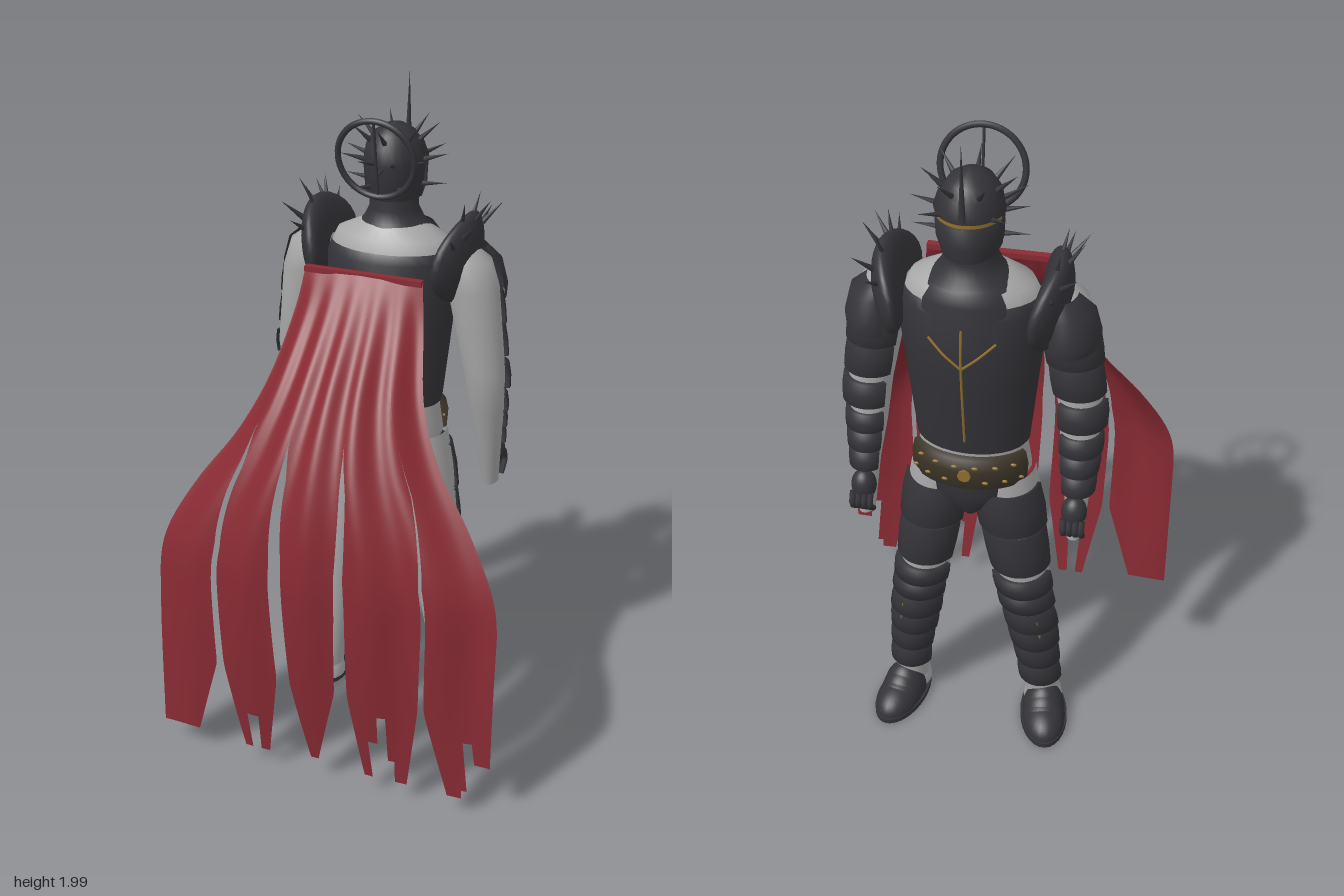
import * as THREE from 'three';
import { mergeGeometries } from 'three/addons/utils/BufferGeometryUtils.js';

const mat = (name, color, side = THREE.FrontSide) => {
  const m = new THREE.MeshStandardMaterial({ color, side });
  m.name = name;
  return m;
};
const V = (x, y, z) => new THREE.Vector3(x, y, z);

// Linear interpolation in rows sorted by falling y; column k holds y
function at(rows, y, k = 0) {
  if (y >= rows[0][k]) return rows[0];
  for (let i = 1; i < rows.length; i++) {
    if (y >= rows[i][k]) {
      const a = rows[i - 1], b = rows[i], t = (y - a[k]) / (b[k] - a[k]);
      return a.map((v, j) => v + (b[j] - v) * t);
    }
  }
  return rows[rows.length - 1];
}

function grid(cols, rows, point, closed = false) {
  const pos = [], idx = [], w = closed ? cols : cols + 1;
  for (let r = 0; r <= rows; r++) for (let c = 0; c < w; c++) pos.push(...point(c / cols, r));
  for (let r = 0; r < rows; r++) for (let c = 0; c < cols; c++) {
    const a = r * w + c, b = r * w + (c + 1) % w;
    idx.push(a, b, a + w, b, b + w, a + w);
  }
  const g = new THREE.BufferGeometry();
  g.setAttribute('position', new THREE.Float32BufferAttribute(pos, 3));
  g.setIndex(idx);
  g.computeVertexNormals();
  return g;
}

// Skin of elliptic sections [x, y, z, rx, rz], top to bottom; angle 0 faces -z, positive turns to +x
function loft(secs, a0 = 0, a1 = Math.PI * 2) {
  return grid(28, secs.length - 1, (u, r) => {
    const [x, y, z, rx, rz] = secs[r], a = a0 + (a1 - a0) * u;
    return [x + rx * Math.sin(a), y, z - rz * Math.cos(a)];
  }, a1 - a0 > 6.28);
}

// Sections on the middle line from rows of [y, rx, rz]
const stack = (z, rows) => rows.map(([y, rx, rz]) => [0, y, z, rx, rz]);

// Curved plates following a limb, with narrow gaps between them
function plates(secs, top, bottom, n, a0, a1, grow) {
  const h = (top - bottom) / n, out = [];
  const ring = (y, s) => { const [x, , z, rx, rz] = at(secs, y, 1); return [x, y, z, rx + s, rz + s]; };
  for (let i = 0; i < n; i++) {
    const y = top - i * h, end = y - h * 0.92;
    out.push(loft([ring(y, 0), ring(y, grow), ring((y + end) / 2, grow + 0.004), ring(end, grow + 0.004), ring(end - 0.002, 0)], a0, a1));
  }
  return mergeGeometries(out);
}

function spike(p, d, len, r) {
  const g = new THREE.ConeGeometry(r, len, 7).translate(0, len / 2, 0);
  g.applyQuaternion(new THREE.Quaternion().setFromUnitVectors(V(0, 1, 0), d.clone().normalize()));
  return g.translate(p.x, p.y, p.z);
}
const ball = (x, y, z, rx, ry, rz, half = false) =>
  new THREE.SphereGeometry(1, 24, 14, 0, Math.PI * 2, 0, half ? Math.PI / 2 : Math.PI).scale(rx, ry, rz).translate(x, y, z);
const rod = (pts, r) => new THREE.TubeGeometry(new THREE.CatmullRomCurve3(pts), 20, r, 6);

function mirrored(g) {
  const m = g.clone().scale(-1, 1, 1), ix = m.index.array;
  for (let i = 0; i < ix.length; i += 3) [ix[i], ix[i + 1]] = [ix[i + 1], ix[i]];
  return m;
}

export function createModel() {
  const root = new THREE.Group();
  root.name = 'cloakedKnight';
  const iron = mat('dark iron', 0x343439, THREE.DoubleSide);
  const cloth = mat('grey undersuit', 0xa8a8a8);
  const red = mat('crimson cloth', 0x882a33, THREE.DoubleSide);
  const gold = mat('old gold', 0x8f6f2c);
  const bronze = mat('dark bronze', 0x3b3427, THREE.DoubleSide);
  const add = (name, g, m) => {
    const mesh = new THREE.Mesh(g, m);
    mesh.name = name;
    root.add(mesh);
  };
  const both = (name, g, m) => { add(name + 'Left', g, m); add(name + 'Right', mirrored(g), m); };

  // Torso and breastplate
  const Z = -0.222;
  add('torso', loft(stack(Z, [[1.59, 0.09, 0.075], [1.555, 0.165, 0.105], [1.48, 0.2, 0.13], [1.2, 0.165, 0.125],
    [1.04, 0.15, 0.105], [0.95, 0.165, 0.105], [0.87, 0.13, 0.092], [0.83, 0, 0]])), cloth);
  const chest = stack(Z, [[1.525, 0.182, 0.125], [1.5, 0.195, 0.146], [1.4, 0.195, 0.157], [1.28, 0.182, 0.146], [1.05, 0.158, 0.112], [1.04, 0.15, 0.1]]);
  add('breastplate', loft(chest), iron);
  add('breastplateCollar', loft(stack(Z, [[1.575, 0.13, 0.125], [1.54, 0.16, 0.148], [1.42, 0.18, 0.157]]), -0.75, 0.75), iron);

  // Gold inlay lying on the breastplate
  const onChest = (x, y) => {
    const s = at(chest, y, 1);
    return V(x, y, Z - (s[4] + 0.004) * Math.sqrt(1 - (x / s[3]) ** 2));
  };
  const inlay = (x, y0, y1) => rod([0, 0.25, 0.5, 0.75, 1].map(t => onChest(x * t, y0 + (y1 - y0) * t)), 0.0035);
  add('chestInlay', mergeGeometries([inlay(0, 1.48, 1.1), inlay(0.09, 1.36, 1.44), inlay(-0.09, 1.36, 1.44)]), gold);

  // Hip belt: ornate front, plain strap behind
  add('beltFront', loft(stack(Z, [[1.04, 0.16, 0.11], [1.035, 0.172, 0.126], [1, 0.18, 0.135], [0.94, 0.176, 0.13], [0.935, 0.16, 0.11]]), -1.15, 1.15), bronze);
  add('beltBack', loft(stack(Z, [[0.955, 0.166, 0.107], [0.93, 0.166, 0.112], [0.9, 0.15, 0.104]]), 2.3, 3.98), iron);
  both('backPouch', ball(0.1, 0.925, -0.135, 0.045, 0.03, 0.024), iron);
  add('buckle', new THREE.CylinderGeometry(0.019, 0.019, 0.008, 8).rotateX(Math.PI / 2).translate(0, 0.99, -0.358), gold);
  const studs = [];
  for (let i = 1; i <= 6; i++) {
    const a = i * 0.16;
    studs.push(ball(0.18 * Math.sin(a), 0.965 + 0.05 * (i % 2), Z - 0.133 * Math.cos(a), 0.009, 0.005, 0.004));
  }
  both('beltStuds', mergeGeometries(studs), gold);
  add('groinPlate', loft(stack(Z, [[0.96, 0.16, 0.12], [0.9, 0.15, 0.12], [0.84, 0.09, 0.1], [0.8, 0.03, 0.07]]), -1.1, 1.1), iron);

  // Legs
  const leg = [[0.09, 0.95, -0.225, 0.085, 0.095], [0.105, 0.82, -0.225, 0.092, 0.1], [0.155, 0.5, -0.232, 0.07, 0.08],
    [0.175, 0.38, -0.225, 0.07, 0.075], [0.195, 0.22, -0.218, 0.056, 0.058], [0.21, 0.04, -0.2, 0.052, 0.06]];
  both('leg', loft(leg), cloth);
  both('thighPlates', plates(leg, 0.9, 0.6, 2, -1.1, 1.5, 0.009), iron);
  both('kneePlates', plates(leg, 0.585, 0.46, 2, -1.1, 1.4, 0.014), iron);
  both('shinPlates', plates(leg, 0.45, 0.13, 4, -1.2, 1.4, 0.01), iron);
  both('shinInlay', rod([0.43, 0.4, 0.36].map(y => {
    const [x, , z, rx, rz] = at(leg, y, 1);
    return V(x + 0.5 * rx, y, z - 0.87 * (rz + 0.014));
  }), 0.003), gold);

  // Boots, turned slightly outward
  const boot = (name, g, m) => both(name, g.translate(0, 0, 0.2).rotateY(-0.2).translate(0.21, 0, -0.2), m);
  boot('soleRim', new THREE.CylinderGeometry(1, 1, 0.016, 28).scale(0.072, 1, 0.139).translate(0, 0.009, -0.267), iron);
  boot('soleBottom', new THREE.CircleGeometry(1, 28).rotateX(Math.PI / 2).scale(0.07, 1, 0.136).translate(0, 0, -0.267), cloth);
  boot('heel', ball(0, 0.016, -0.2, 0.06, 0.09, 0.066, true), cloth);
  boot('toeCap', ball(0, 0.016, -0.3, 0.064, 0.062, 0.1, true), iron);
  const bands = [0, 1, 2].map(i => ball(0, 0.016, -0.285 + i * 0.016, 0.066, 0.07 + i * 0.014, 0.08 - i * 0.008, true));
  boot('bootPlates', mergeGeometries(bands), iron);

  // Arms
  const arm = [[0.22, 1.55, -0.205, 0.03, 0.04], [0.235, 1.51, -0.205, 0.07, 0.07], [0.255, 1.43, -0.205, 0.075, 0.075],
    [0.293, 1.18, -0.21, 0.062, 0.06], [0.298, 1.05, -0.23, 0.052, 0.055], [0.3, 0.94, -0.26, 0.038, 0.042],
    [0.3, 0.78, -0.29, 0.024, 0.034], [0.3, 0.76, -0.29, 0, 0]];
  both('arm', loft(arm), cloth);
  both('upperArmPlates', plates(arm, 1.42, 1.22, 2, -0.9, 1.5, 0.01), iron);
  both('elbowPlate', plates(arm, 1.2, 1.12, 1, -0.8, 1.6, 0.014), iron);
  both('forearmPlates', plates(arm, 1.1, 0.92, 3, -0.9, 1.6, 0.01), iron);
  const hand = [ball(0.3, 0.875, -0.31, 0.036, 0.05, 0.036)];
  for (let i = 0; i < 4; i++) {
    const x = 0.275 + i * 0.017;
    hand.push(rod([V(x, 0.865, -0.335), V(x, 0.83, -0.348), V(x, 0.795, -0.315)], 0.009));
  }
  both('gauntlet', mergeGeometries(hand), iron);

  // Shoulder guards: flat domes bent around the shoulder, with a fan of spikes
  const pad = ball(0, 0, 0, 0.044, 0.13, 0.162).rotateZ(-0.12).translate(0.22, 1.508, Z);
  const pp = pad.attributes.position;
  for (let i = 0; i < pp.count; i++) pp.setX(i, pp.getX(i) - 1.4 * (pp.getZ(i) - Z) ** 2);
  pad.computeVertexNormals();
  both('shoulderGuard', pad, iron);
  both('shoulderLame', loft([[0.23, 1.54, -0.23, 0.05, 0.07], [0.25, 1.5, -0.225, 0.076, 0.1], [0.26, 1.43, Z, 0.084, 0.12], [0.26, 1.395, Z, 0.082, 0.115]], -0.5, 1.6), iron);
  const padSpikes = [];
  for (let i = 0; i < 7; i++) {
    const a = (i - 3) * 0.33, out = i % 2 ? 0.7 : 0.2;
    padSpikes.push(spike(V(0.215 + out * 0.04, 1.51 + 0.1 * Math.cos(a), Z + 0.13 * Math.sin(a)), V(out, Math.cos(a), Math.sin(a)), 0.085, 0.009));
  }
  both('shoulderSpikes', mergeGeometries(padSpikes), iron);

  // Neck and helmet
  const H = -0.235;
  add('neck', loft(stack(H, [[1.7, 0.07, 0.075], [1.63, 0.07, 0.075], [1.595, 0.088, 0.085], [1.56, 0.125, 0.11]])), iron);
  add('helmet', loft(stack(H, [[1.872, 0, 0], [1.865, 0.028, 0.034], [1.845, 0.058, 0.068], [1.81, 0.08, 0.09],
    [1.765, 0.087, 0.1], [1.665, 0.08, 0.09], [1.66, 0.06, 0.065]])), iron);
  add('brow', loft(stack(H, [[1.82, 0.08, 0.088], [1.775, 0.095, 0.11], [1.775, 0.085, 0.09]]), -1.5, 1.5), iron);
  add('faceGuard', loft(stack(H, [[1.755, 0.08, 0.09], [1.755, 0.093, 0.11], [1.7, 0.09, 0.112], [1.655, 0.075, 0.105]]), -1.4, 1.4), iron);
  add('visorLine', loft(stack(H, [[1.769, 0.093, 0.108], [1.759, 0.093, 0.108]]), -1.2, 1.2), gold);

  // Helmet spikes in rings of [y, ring radius, count, rise, open front angle], and the tall brow spike
  const crown = [spike(V(0, 1.78, -0.342), V(0, 1, -0.02), 0.212, 0.01)];
  [[1.7, 0.08, 4, 0.1, 1.5], [1.77, 0.085, 8, 0.3, 0.8], [1.825, 0.07, 7, 0.9, 0.5]].forEach(([y, r, n, rise, open]) => {
    for (let i = 0; i < n; i++) {
      const a = open + (i / (n - 1)) * (Math.PI - open) * 2;
      const d = V(Math.sin(a), rise, -Math.cos(a));
      crown.push(spike(V(r * d.x, y, H + r * 1.08 * d.z), d, 0.075, 0.008));
    }
  });
  add('helmetSpikes', mergeGeometries(crown), iron);

  // Halo ring behind the head
  const halo = mergeGeometries([new THREE.TorusGeometry(0.113, 0.009, 8, 48), new THREE.CylinderGeometry(0.004, 0.004, 0.22, 6),
    new THREE.CylinderGeometry(0.005, 0.005, 0.08, 6).rotateX(Math.PI / 2).translate(0, -0.05, -0.04)]);
  add('halo', halo.rotateX(0.17).translate(0, 1.8, -0.092), iron);

  // Cape sheet: smooth profile through [y, centre z, edge z, half width], with soft folds
  const profile = [[1.5, 0.005, -0.005, 0.175], [1.38, 0.09, 0.035, 0.195], [1.2, 0.238, 0.135, 0.237], [1.05, 0.328, 0.2, 0.308],
    [0.9, 0.38, 0.25, 0.415], [0.75, 0.4, 0.29, 0.498], [0.62, 0.398, 0.308, 0.525], [0.4, 0.378, 0.322, 0.525], [0.05, 0.328, 0.328, 0.525]];
  const depth = new THREE.CatmullRomCurve3(profile.map(p => V(p[1], p[0], p[2])), false, 'catmullrom');
  const width = new THREE.CatmullRomCurve3(profile.map(p => V(p[3], p[0], 0)), false, 'catmullrom');
  const cape = Array.from({ length: 81 }, (_, i) => {
    const d = depth.getPoint(i / 80);
    return [d.y, d.x, d.z, Math.min(0.525, width.getPoint(i / 80).x)];
  });
  const onCape = (s, y) => {
    const [, zc, ze, w] = at(cape, y), fold = Math.min(1, (1.5 - y) * 4, y * 1.6);
    return [s * w, y, zc + (ze - zc) * s * s + 0.011 * fold * Math.cos(s * 17 + 0.6)];
  };
  // Strip edges as fractions of the half width: [y, left and right of each of five strips]
  const tears = [[1.5, -1, -0.69, -0.69, -0.34, -0.34, 0.23, 0.23, 0.57, 0.57, 1],
    [1.1, -1, -0.81, -0.81, -0.35, -0.35, 0.23, 0.23, 0.74, 0.74, 1],
    [1.0, -1, -0.75, -0.71, -0.33, -0.27, 0.2, 0.26, 0.75, 0.755, 1],
    [0.75, -1, -0.635, -0.6, -0.26, -0.18, 0.14, 0.195, 0.622, 0.645, 1],
    [0.35, -1, -0.62, -0.575, -0.235, -0.15, 0.115, 0.19, 0.595, 0.63, 1],
    [0.06, -1, -0.78, -0.47, -0.32, -0.05, -0.02, 0.27, 0.52, 0.76, 1]];
  // Notches torn from each hem: [from, to, y]
  const notches = [[], [[0.32, 0.64, 0.19]], [], [[0.22, 0.42, 0.2], [0.42, 0.56, 0.3], [0.56, 0.72, 0.14]],
    [[0.36, 0.52, 0.09], [0.52, 0.68, 0.26], [0.68, 1.01, 0.19]]];
  notches.forEach((cuts, i) => {
    const hem = i % 2 || i === 4 ? 0.062 : 0.08;
    const strip = grid(40, 48, (u, r) => {
      const cut = cuts.find(c => u >= c[0] && u < c[1]);
      const y = Math.max(cut ? cut[2] : hem, hem + (1.5 - hem) * r / 48), row = at(tears, y), l = row[1 + i * 2];
      return onCape(l + (row[2 + i * 2] - l) * u, y);
    });
    add('capeStrip' + (i + 1), strip, red);
  });
  add('capeHem', new THREE.BoxGeometry(0.35, 0.016, 0.022).translate(0, 1.494, -0.003), red);
  return root;
}
